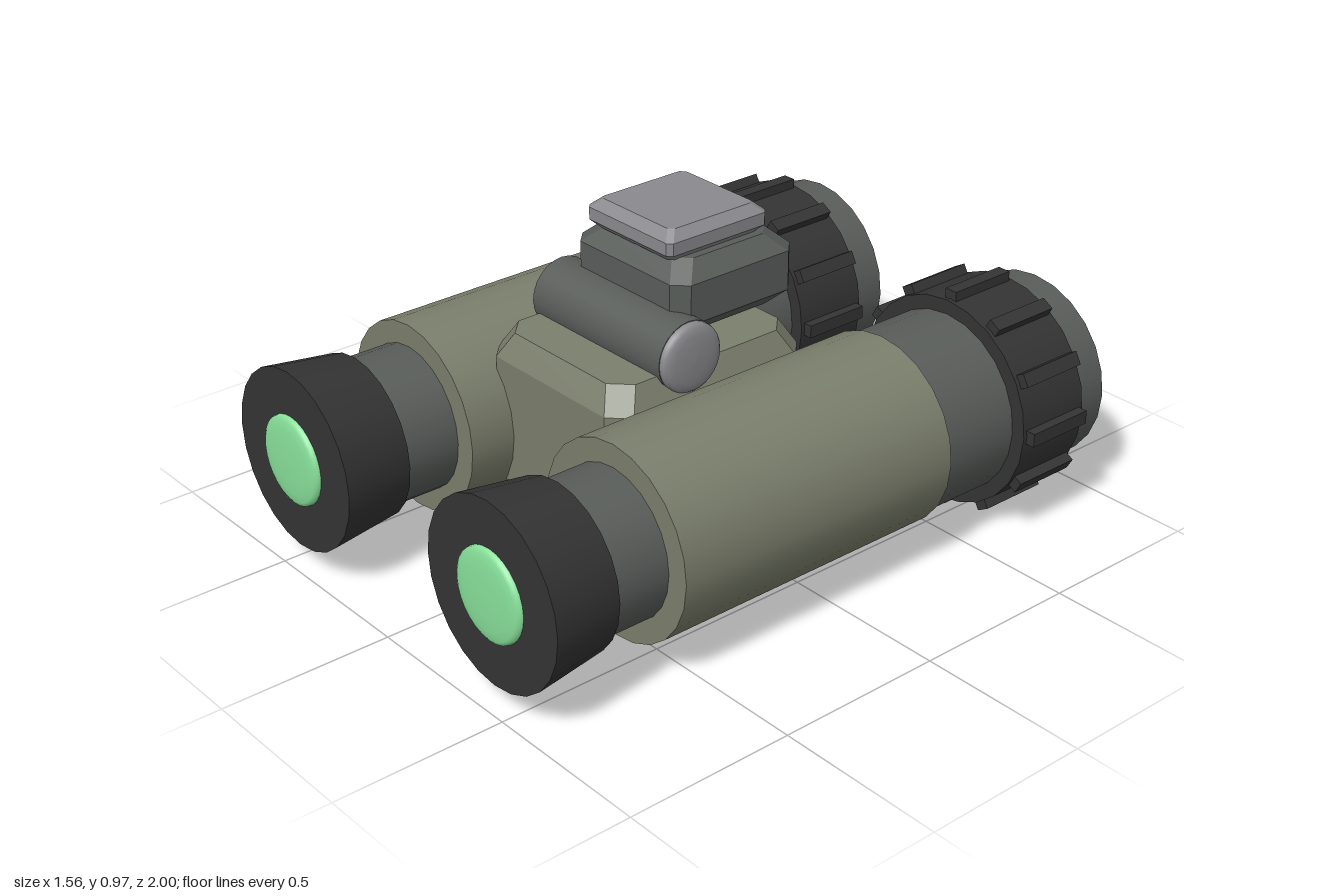
import * as THREE from 'three';

const mat = (name, color) => Object.assign(new THREE.MeshStandardMaterial({ color }), { name });

export function createModel() {
  const olive = mat('olive body', 0x7b7f6c);
  const gray = mat('dark gray', 0x595d5a);
  const rubber = mat('black rubber', 0x343434);
  const metal = mat('light gray metal', 0x8a8a8e);
  const teal = mat('teal glass', 0x60a198);
  const green = mat('green glow', 0x88e09a);
  const red = mat('red lens', 0x9c5053);

  const model = new THREE.Group();
  model.name = 'binoculars';

  const add = (parent, name, geometry, material, x = 0, y = 0, z = 0) => {
    const mesh = new THREE.Mesh(geometry, material);
    mesh.name = name;
    mesh.position.set(x, y, z);
    parent.add(mesh);
    return mesh;
  };

  // Cylinder along z between z0 (rear) and z1 (front)
  const tube = (parent, name, material, z0, z1, rRear, rFront = rRear) => {
    const g = new THREE.CylinderGeometry(rFront, rRear, z1 - z0, 24).rotateX(Math.PI / 2);
    return add(parent, name, g, material, 0, 0, (z0 + z1) / 2);
  };

  // Shallow domed cap whose axis is +y before turning
  const dome = (r, h) => new THREE.LatheGeometry(
    [[1, 0], [0.985, 0.45], [0.9, 0.72], [0.7, 0.87], [0.4, 0.96], [0, 1]]
      .map(([a, b]) => new THREE.Vector2(a * r, b * h)), 28);

  // Block made of octagonal layers [y, inset], flat shaded
  const bevelBlock = (hx, hz, corner, layers) => {
    const rings = layers.map(([y, inset]) => {
      const a = hx - inset, b = hz - inset, c = corner;
      return [[a, b - c], [a - c, b], [c - a, b], [-a, b - c],
        [-a, c - b], [c - a, -b], [a - c, -b], [a, c - b]].map(([x, z]) => [x, y, z]);
    });
    const pos = [];
    const tri = (...p) => p.forEach((v) => pos.push(...v));
    for (let k = 0; k + 1 < rings.length; k++) {
      for (let i = 0; i < 8; i++) {
        const j = (i + 1) % 8, lo = rings[k], hi = rings[k + 1];
        tri(lo[i], hi[i], hi[j]);
        tri(lo[i], hi[j], lo[j]);
      }
    }
    const bottom = rings[0], top = rings[rings.length - 1];
    for (let i = 1; i < 7; i++) {
      tri(top[0], top[i + 1], top[i]);
      tri(bottom[0], bottom[i], bottom[i + 1]);
    }
    const g = new THREE.BufferGeometry();
    g.setAttribute('position', new THREE.Float32BufferAttribute(pos, 3));
    g.computeVertexNormals();
    return g;
  };

  // Two optical barrels
  for (const side of [-1, 1]) {
    const barrel = new THREE.Group();
    barrel.name = side > 0 ? 'leftBarrel' : 'rightBarrel';
    barrel.position.set(side * 0.443, 0.33, 0);
    model.add(barrel);

    tube(barrel, 'barrelBody', olive, -0.345, 0.59, 0.28);
    tube(barrel, 'eyepieceTube', gray, 0.58, 0.775, 0.214);
    tube(barrel, 'eyecup', rubber, 0.765, 0.978, 0.238, 0.265);
    add(barrel, 'eyepieceLens', dome(0.132, 0.024).rotateX(Math.PI / 2), green, 0, 0, 0.976);

    tube(barrel, 'objectiveTube', gray, -0.61, -0.335, 0.267);
    tube(barrel, 'focusRing', rubber, -0.84, -0.6, 0.309);
    tube(barrel, 'objectiveRim', gray, -0.96, -0.83, 0.279);
    add(barrel, 'objectiveLens', dome(0.229, 0.045).rotateX(-Math.PI / 2), teal, 0, 0, -0.955);

    // Grip ribs around the focus ring
    for (let i = 0; i < 12; i++) {
      const a = (i * Math.PI) / 6;
      const rib = add(barrel, 'gripRib', new THREE.BoxGeometry(0.05, 0.04, 0.215), rubber,
        Math.cos(a) * 0.31, Math.sin(a) * 0.31, -0.72);
      rib.rotation.z = a;
    }
  }

  // Bridge joining the barrels
  add(model, 'bridge', bevelBlock(0.288, 0.34, 0.055,
    [[0.15, 0.03], [0.18, 0], [0.55, 0], [0.622, 0.038]]), olive, 0, 0, 0.11);

  // Rear illuminator with red lens
  const illuminator = new THREE.Group();
  illuminator.name = 'illuminator';
  illuminator.position.y = 0.195;
  model.add(illuminator);
  tube(illuminator, 'illuminatorTube', gray, -0.46, -0.2, 0.105);
  add(illuminator, 'illuminatorLens', dome(0.086, 0.033).rotateX(-Math.PI / 2), red, 0, 0, -0.457);

  // Cross roller with metal end cap
  add(model, 'roller', new THREE.CylinderGeometry(0.102, 0.102, 0.535, 24).rotateZ(Math.PI / 2),
    gray, -0.002, 0.655, 0.19);
  add(model, 'rollerCap', dome(0.1, 0.034).rotateZ(-Math.PI / 2), metal, 0.263, 0.655, 0.19);

  // Offset post, mount block and top plate
  add(model, 'mountPost', new THREE.CylinderGeometry(0.1, 0.1, 0.12, 20), rubber, -0.155, 0.65, -0.1);
  add(model, 'mountBlock', bevelBlock(0.227, 0.213, 0.04,
    [[0.672, 0.045], [0.717, 0], [0.832, 0], [0.88, 0.05]]), gray, 0, 0, -0.025);
  add(model, 'topPlate', bevelBlock(0.174, 0.174, 0.014,
    [[0.877, 0.025], [0.902, 0], [0.938, 0], [0.964, 0.028]]), metal, 0, 0, 0.003);

  return model;
}
